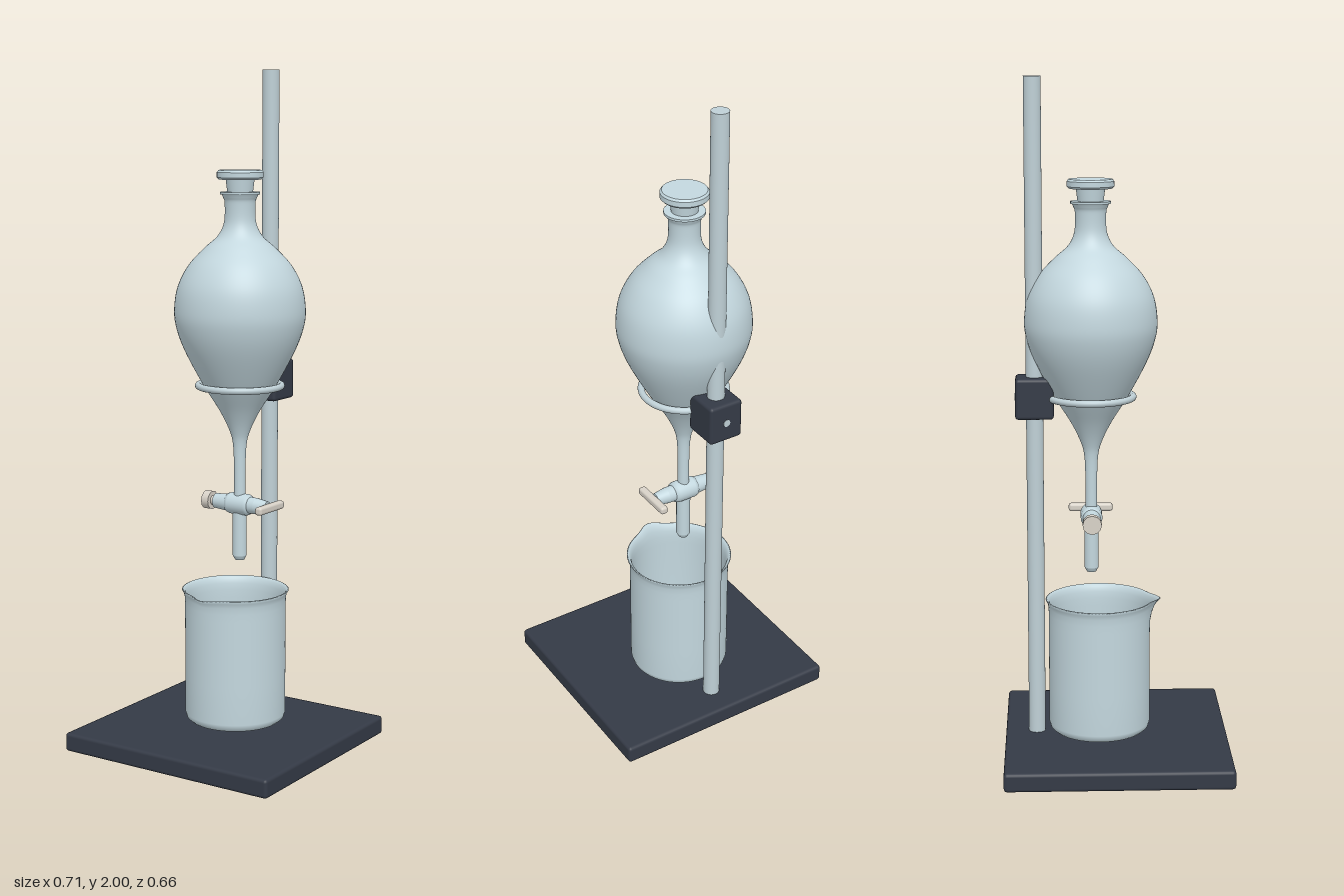
import * as THREE from 'three';
import { RoundedBoxGeometry } from 'three/addons/geometries/RoundedBoxGeometry.js';

const material = (name, color) => {
  const m = new THREE.MeshStandardMaterial({ color });
  m.name = name;
  return m;
};

export function createModel() {
  const model = new THREE.Group();
  model.name = 'separatoryFunnelStand';

  const glass = material('paleGlass', 0xc3d7de);
  glass.side = THREE.DoubleSide;
  const steel = material('steel', 0xbfd0d6);
  const iron = material('darkIron', 0x343a46);
  const plastic = material('ivoryPlastic', 0xd8d2c8);
  const liquid = material('paleLiquid', 0xd3c6b0);

  const add = (parent, name, geometry, mat, x = 0, y = 0, z = 0) => {
    const mesh = new THREE.Mesh(geometry, mat);
    mesh.name = name;
    mesh.position.set(x, y, z);
    parent.add(mesh);
    return mesh;
  };
  const v2 = (pts) => pts.map(([r, y]) => new THREE.Vector2(r, y));
  const lathe = (pts, segments = 64) => new THREE.LatheGeometry(v2(pts), segments);
  // Repeats each profile corner so every band keeps a sharp edge
  const sharp = (pts) => pts.flatMap((p, i) =>
    i > 0 && i < pts.length - 1 ? [p, [p[0], p[1] + 1e-6]] : [p]);

  // Stand: base plate and upright rod
  const rodZ = -0.238;
  add(model, 'basePlate', new RoundedBoxGeometry(0.71, 0.056, 0.664, 2, 0.01), iron, 0, 0.028, 0);
  add(model, 'uprightRod', new THREE.CylinderGeometry(0.025, 0.025, 1.95, 32), steel, 0, 1.025, rodZ);

  // Clamp block with the support ring and its arm
  const funnelZ = -0.073;
  add(model, 'clampBlock', new RoundedBoxGeometry(0.106, 0.12, 0.112, 2, 0.01), iron, 0, 1.08, rodZ);
  const arm = add(model, 'ringArm', new THREE.CylinderGeometry(0.011, 0.011, 0.1, 20), steel, 0, 1.08, -0.246);
  arm.rotation.x = Math.PI / 2;
  const ring = add(model, 'supportRing', new THREE.TorusGeometry(0.123, 0.01, 14, 72), steel, 0, 1.08, funnelZ);
  ring.rotation.x = Math.PI / 2;

  // Funnel: pear-shaped body running into neck and stem
  const funnel = new THREE.Group();
  funnel.name = 'separatoryFunnel';
  funnel.position.z = funnelZ;
  model.add(funnel);
  const bodyCurve = new THREE.SplineCurve(v2([
    [0.017, 0.74], [0.017, 0.82], [0.02, 0.9], [0.031, 0.945], [0.06, 1.005],
    [0.11, 1.085], [0.163, 1.185], [0.188, 1.255], [0.193, 1.31], [0.182, 1.375],
    [0.151, 1.435], [0.105, 1.485], [0.066, 1.52], [0.047, 1.56], [0.045, 1.615],
    [0.05, 1.633], [0.058, 1.648],
  ]));
  add(funnel, 'funnelBody', new THREE.LatheGeometry(bodyCurve.getPoints(96), 72), glass);
  add(funnel, 'mouthRim', lathe(sharp([[0.058, 1.641], [0.058, 1.648], [0.036, 1.648]])), glass);
  add(funnel, 'lowerStem', lathe(sharp([
    [0, 0.552], [0.014, 0.552], [0.021, 0.565], [0.021, 0.73],
  ]), 32), glass);

  // Stopper
  add(funnel, 'stopper', lathe(sharp([
    [0.034, 1.62], [0.042, 1.684], [0.062, 1.684], [0.068, 1.69],
    [0.068, 1.705], [0.063, 1.711], [0, 1.711],
  ])), glass);

  // Stopcock lying along x: barrel, nut and flat handle
  const stopcock = new THREE.Group();
  stopcock.name = 'stopcock';
  stopcock.position.y = 0.722;
  funnel.add(stopcock);
  const along = (name, geometry, mat, x) => {
    add(stopcock, name, geometry, mat, x).rotation.z = -Math.PI / 2;
  };
  along('stopcockBarrel', lathe(sharp([
    [0, -0.085], [0.022, -0.085], [0.026, -0.04], [0.024, 0.06], [0.018, 0.098], [0, 0.098],
  ]), 32), glass, 0);
  along('barrelCollar', lathe([
    [0.02, -0.042], [0.029, -0.038], [0.032, -0.028], [0.032, 0.028], [0.029, 0.036], [0.02, 0.04],
  ], 32), glass, 0);
  along('retainingNut', new THREE.CylinderGeometry(0.028, 0.028, 0.024, 12), plastic, -0.109);
  along('plugStem', new THREE.CylinderGeometry(0.014, 0.014, 0.04, 20), plastic, -0.085);
  add(stopcock, 'stopcockHandle', new RoundedBoxGeometry(0.024, 0.024, 0.132, 2, 0.008), plastic, 0.106);

  // Beaker: thick-walled vessel with flared lip and a spout at the front
  const beaker = new THREE.Group();
  beaker.name = 'beaker';
  beaker.position.z = -0.05;
  model.add(beaker);
  const vessel = lathe([
    [0, 0.062], [0.125, 0.062], [0.138, 0.066], [0.147, 0.074], [0.151, 0.088],
    [0.151, 0.2], [0.151, 0.36], [0.151, 0.4], [0.151, 0.425], [0.152, 0.445], [0.155, 0.458], [0.16, 0.466],
    [0.156, 0.468], [0.149, 0.46], [0.145, 0.445], [0.143, 0.425], [0.143, 0.4], [0.143, 0.36],
    [0.143, 0.09], [0.135, 0.076], [0, 0.072],
  ], 96);
  const p = vessel.attributes.position;
  for (let i = 0; i < p.count; i++) {
    const x = p.getX(i), y = p.getY(i), z = p.getZ(i);
    const lift = Math.max(0, (y - 0.38) / 0.086);
    const angle = Math.atan2(x, z);
    const push = 0.023 * lift * lift * Math.exp(-((angle / 0.22) ** 2));
    p.setXYZ(i, x + push * Math.sin(angle), y, z + push * Math.cos(angle));
  }
  add(beaker, 'beakerGlass', vessel, glass);
  add(beaker, 'collectedLiquid', new THREE.CylinderGeometry(0.1425, 0.1425, 0.12, 64), liquid, 0, 0.15, 0);

  return model;
}
